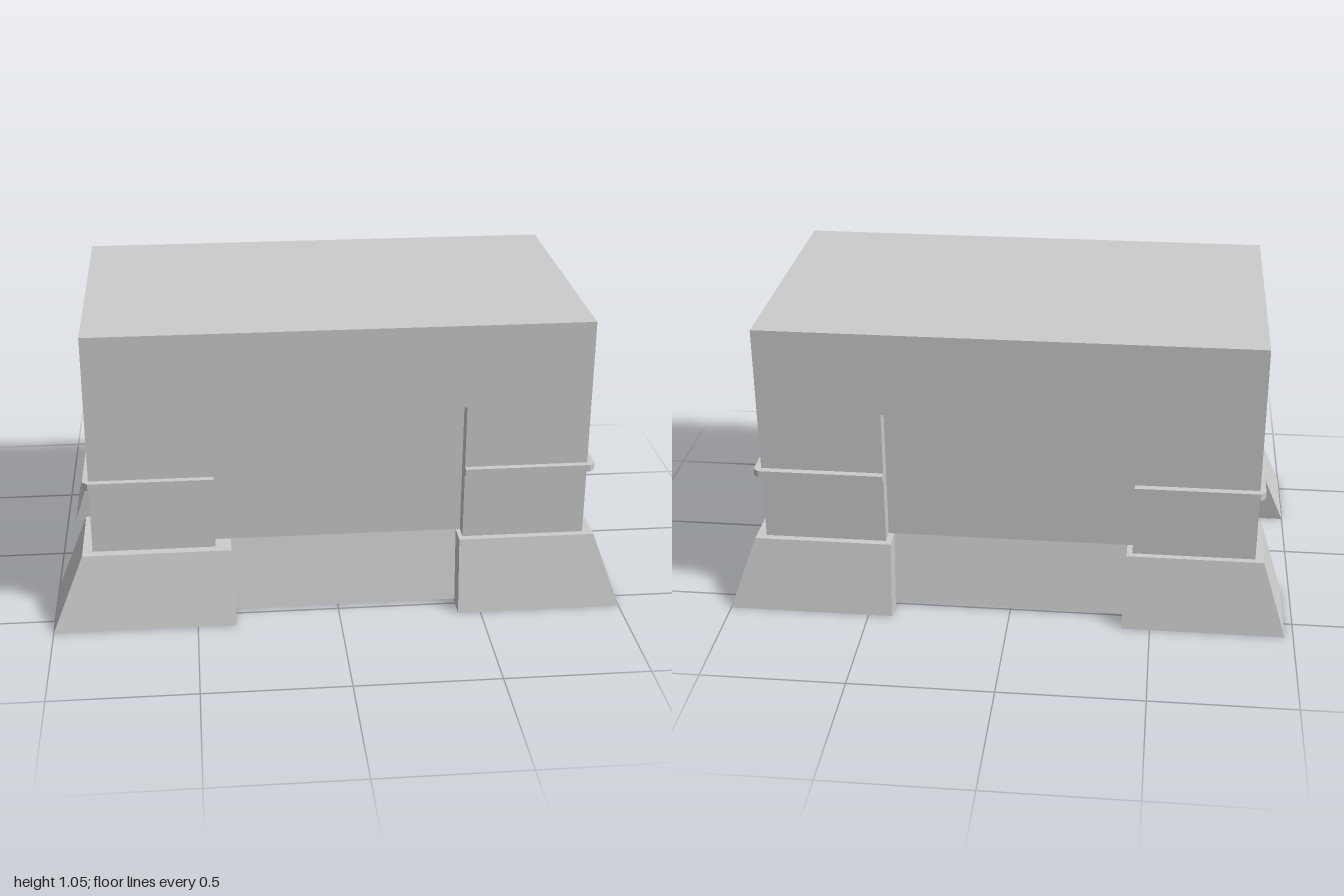
import * as THREE from 'three';

const material = new THREE.MeshStandardMaterial({ color: 0xcccccc, flatShading: true });

// Body limits, inner core limits and heights
const X0 = -0.855, X1 = 0.87, Z0 = -0.51, Z1 = 0.49, TOP = 1.055;
const CX0 = -0.8, CX1 = 0.81, CZ0 = -0.455, CZ1 = 0.435;
const FOOT_TOP = 0.265;

// Six-sided solid between a bottom and a top rectangle, each [x0, x1, z0, z1]
function taperedBlock(bottom, top, y0, y1) {
  const geometry = new THREE.BoxGeometry(1, 1, 1);
  const p = geometry.attributes.position;
  for (let i = 0; i < p.count; i++) {
    const up = p.getY(i) > 0;
    const r = up ? top : bottom;
    p.setXYZ(i, r[p.getX(i) > 0 ? 1 : 0], up ? y1 : y0, r[p.getZ(i) > 0 ? 3 : 2]);
  }
  geometry.computeVertexNormals();
  return geometry;
}

// Wall slab with a square opening cut up from its lower edge
function archedWall(u0, u1, open0, open1, openTop, depth) {
  const shape = new THREE.Shape([
    [u0, 0.02], [open0, 0.02], [open0, openTop], [open1, openTop],
    [open1, 0.02], [u1, 0.02], [u1, TOP], [u0, TOP],
  ].map(([u, v]) => new THREE.Vector2(u, v)));
  return new THREE.ExtrudeGeometry(shape, { depth, bevelEnabled: false });
}

// Thin ledge whose outer corner is cut off
function cornerLedge(xi, xo, zi, zo) {
  const cx = Math.sign(xo) * 0.018, cz = Math.sign(zo) * 0.018;
  const shape = new THREE.Shape([
    [xi, zi], [xo, zi], [xo, zo - cz], [xo - cx, zo], [xi, zo],
  ].map(([x, z]) => new THREE.Vector2(x, z)));
  return new THREE.ExtrudeGeometry(shape, { depth: 0.025, bevelEnabled: false })
    .rotateX(Math.PI / 2).translate(0, 0.535, 0);
}

export function createModel() {
  const model = new THREE.Group();
  const add = (name, geometry) => {
    const mesh = new THREE.Mesh(geometry, material);
    mesh.name = name;
    model.add(mesh);
  };

  // Recessed core and its flared skirt
  const core = [CX0, CX1, CZ0, CZ1];
  add('core', taperedBlock(core, core, 0.02, TOP));
  add('skirt', taperedBlock([-0.89, 0.905, -0.505, 0.485], core, 0.01, FOOT_TOP));

  // Outer walls with openings
  add('frontWall', archedWall(X0, X1, -0.43, 0.44, 0.76, Z1 - CZ1).translate(0, 0, CZ1));
  add('backWall', archedWall(X0, X1, -0.43, 0.44, 0.76, CZ0 - Z0).translate(0, 0, Z0));
  const side = (depth, x) => archedWall(Z0, Z1, -0.255, 0.24, 0.505, depth)
    .rotateY(-Math.PI / 2).translate(x, 0, 0);
  add('leftWall', side(X1 - CX1, X1));
  add('rightWall', side(CX0 - X0, CX0));

  // Corner feet: bottom and top rectangles
  const feet = {
    frontLeftFoot: [[0.42, 1, 0.25, 0.57], [0.425, 0.905, 0.22, 0.515]],
    frontRightFoot: [[-1, -0.365, 0.25, 0.582], [-0.89, -0.375, 0.22, 0.522]],
    backLeftFoot: [[0.415, 1, -0.585, -0.265], [0.42, 0.905, -0.535, -0.24]],
    backRightFoot: [[-0.97, -0.4, -0.585, -0.27], [-0.885, -0.41, -0.532, -0.25]],
  };
  for (const [name, [bottom, top]] of Object.entries(feet)) {
    add(name, taperedBlock(bottom, top, 0, FOOT_TOP));
  }

  // Ledges wrapping each corner above the feet
  for (const [sx, xi, xo] of [['Left', 0.44, 0.895], ['Right', -0.43, -0.875]]) {
    add('front' + sx + 'Ledge', cornerLedge(xi, xo, 0.242, 0.513));
    add('back' + sx + 'Ledge', cornerLedge(xi, xo, -0.257, -0.535));
  }
  return model;
}
